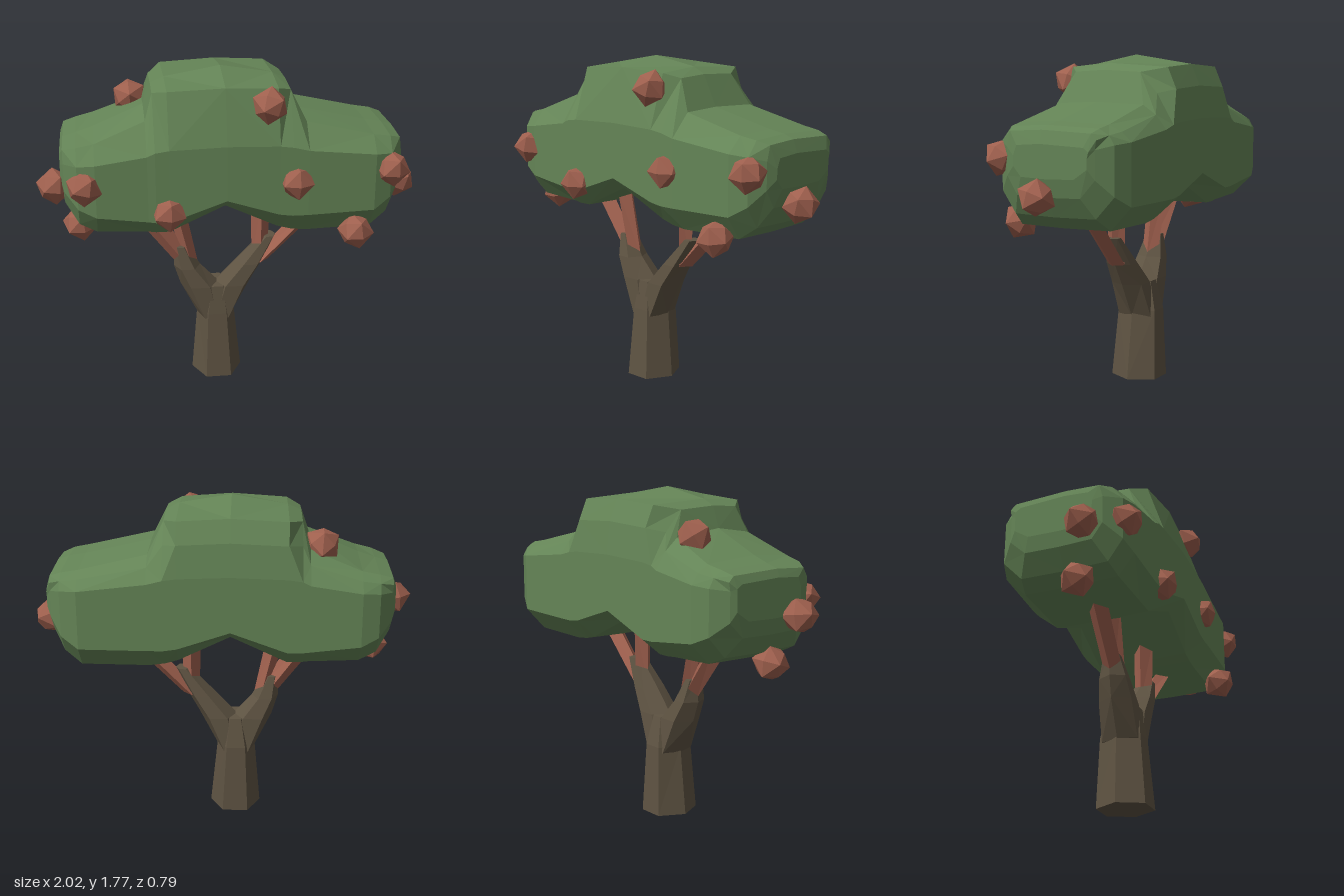
import * as THREE from 'three';
import { ConvexGeometry } from 'three/addons/geometries/ConvexGeometry.js';

const flat = (name, color) => {
  const m = new THREE.MeshStandardMaterial({ color, flatShading: true });
  m.name = name;
  return m;
};

// Skin between successive rings of [x, y, z] points, closed at both ends
function loft(rings) {
  const n = rings[0].length, pos = [];
  const tri = (a, b, c) => pos.push(...a, ...b, ...c);
  const centre = (r) => [0, 1, 2].map((k) => r.reduce((s, p) => s + p[k], 0) / n);
  for (let i = 0; i < rings.length - 1; i++) {
    for (let j = 0; j < n; j++) {
      const k = (j + 1) % n;
      const a = rings[i][j], b = rings[i][k], c = rings[i + 1][j], d = rings[i + 1][k];
      if ((i + j) % 2) { tri(a, c, b); tri(b, c, d); }
      else { tri(a, c, d); tri(a, d, b); }
    }
  }
  const first = rings[0], last = rings[rings.length - 1];
  const c0 = centre(first), c1 = centre(last);
  for (let j = 0; j < n; j++) {
    const k = (j + 1) % n;
    tri(c0, first[j], first[k]);
    tri(c1, last[k], last[j]);
  }
  const g = new THREE.BufferGeometry();
  g.setAttribute('position', new THREE.Float32BufferAttribute(pos, 3));
  g.computeVertexNormals();
  return g;
}

// Upright limb: each row is [x, y, z, radius in x, radius in z]
const limb = (rows, sides) => loft(rows.map(([x, y, z, rx, rz]) =>
  Array.from({ length: sides }, (_, j) => {
    const a = (j / sides) * Math.PI * 2;
    return [x + Math.cos(a) * rx, y, z + Math.sin(a) * rz];
  })));

// Blocky fruit: a small cube with a raised point on each face
function fruitGeometry(corner, point) {
  const pts = [];
  for (const s of [-1, 1]) {
    pts.push(new THREE.Vector3(s * point, 0, 0), new THREE.Vector3(0, s * point, 0), new THREE.Vector3(0, 0, s * point));
    for (const t of [-1, 1]) for (const u of [-1, 1]) {
      pts.push(new THREE.Vector3(s, t, u).multiplyScalar(corner));
    }
  }
  return new ConvexGeometry(pts);
}

export function createModel() {
  const tree = new THREE.Group();
  tree.name = 'tree';
  const bark = flat('brown bark', 0x5e5342);
  const clay = flat('terracotta', 0x9f604e);
  const leaf = flat('leaf green', 0x648456);
  const add = (name, geometry, material) => {
    const mesh = new THREE.Mesh(geometry, material);
    mesh.name = name;
    tree.add(mesh);
    return mesh;
  };

  // Trunk and its fork
  add('trunk', limb([
    [-0.075, 0.01, -0.005, 0.138, 0.155],
    [-0.078, 0.39, -0.015, 0.102, 0.13],
    [-0.075, 0.55, -0.008, 0.06, 0.098],
  ], 6), bark);
  add('rightFork', limb([
    [-0.11, 0.36, -0.01, 0.07, 0.115],
    [-0.168, 0.55, -0.005, 0.105, 0.105],
    [-0.235, 0.66, 0, 0.072, 0.085],
    [-0.27, 0.78, 0, 0.035, 0.05],
  ], 6), bark);
  add('leftFork', limb([
    [-0.05, 0.36, -0.01, 0.07, 0.115],
    [0.018, 0.55, -0.005, 0.1, 0.105],
    [0.108, 0.67, 0, 0.077, 0.085],
    [0.215, 0.82, 0, 0.038, 0.05],
  ], 6), bark);

  // Thin branches reaching into the crown
  const branches = [
    [[-0.24, 0.68], [-0.5, 1.04], 0.075],
    [[-0.21, 0.66], [-0.3, 1.04], 0.05],
    [[0.165, 0.68], [0.17, 1.04], 0.055],
    [[0.165, 0.67], [0.52, 1.04], 0.065],
  ];
  branches.forEach(([a, b, r], i) => add(`branch${i + 1}`, limb([
    [a[0], a[1], 0, r * 0.75, 0.05],
    [b[0], b[1], 0, r, 0.055],
  ], 4), clay));

  // Crown: [x, bottom, top edge, crest, shoulder, front z, back z, top front z, top back z, chamfer]
  const stations = [
    [-0.885, 1.2, 1.38, 1.39, 1.33, 0.15, -0.27, 0.13, -0.24, 0.05],
    [-0.868, 1.12, 1.42, 1.43, 1.35, 0.2, -0.3, 0.18, -0.28, 0.08],
    [-0.8, 1.02, 1.44, 1.45, 1.36, 0.28, -0.37, 0.22, -0.29, 0.11],
    [-0.71, 0.98, 1.46, 1.48, 1.37, 0.305, -0.4, 0.23, -0.3, 0.11],
    [-0.45, 0.97, 1.56, 1.59, 1.41, 0.315, -0.4, 0.2, -0.27, 0.09],
    [-0.41, 0.965, 1.69, 1.7, 1.43, 0.32, -0.4, 0.15, -0.21, 0.09],
    [-0.34, 0.965, 1.715, 1.73, 1.44, 0.32, -0.4, 0.23, -0.33, 0.09],
    [-0.05, 1.1, 1.73, 1.78, 1.45, 0.325, -0.4, 0.25, -0.33, 0.06],
    [0.22, 0.97, 1.715, 1.735, 1.44, 0.32, -0.4, 0.23, -0.33, 0.1],
    [0.29, 0.95, 1.69, 1.7, 1.43, 0.32, -0.4, 0.17, -0.21, 0.11],
    [0.37, 0.94, 1.53, 1.54, 1.41, 0.32, -0.4, 0.21, -0.27, 0.12],
    [0.72, 0.945, 1.45, 1.46, 1.37, 0.305, -0.4, 0.22, -0.28, 0.12],
    [0.81, 1.01, 1.435, 1.445, 1.36, 0.27, -0.36, 0.21, -0.28, 0.11],
    [0.868, 1.11, 1.415, 1.425, 1.34, 0.2, -0.29, 0.18, -0.27, 0.09],
  ];
  stations.push([0.89, 1.2, 1.35, 1.36, 1.3, 0.15, -0.26, 0.13, -0.24, 0.05]);
  add('crown', loft(stations.map(([x, bot, top, crest, sh, zf, zb, tf, tb, cut]) => [
    [x, bot, zf * 0.72], [x, bot + cut, zf], [x, sh, zf],
    [x, top, tf], [x, crest, 0], [x, top, tb],
    [x, sh + (top - sh) * 0.6, zb * 0.4 + tb * 0.6 - 0.02],
    [x, sh, zb], [x, bot + cut, zb],
    [x, bot, zb * 0.72], [x, bot - 0.005, -0.03],
  ])), leaf);

  // Fruit around the crown: position, then turn
  const fruit = fruitGeometry(0.056, 0.084);
  [
    [-0.92, 1.2, 0.11, 0.2, 0.4, 0.6], [-0.765, 1.25, 0.28, 0.3, 0.3, 0.5],
    [-0.8, 0.955, 0.04, 0.3, 0.3, 0.8], [-0.345, 1.1, 0.305, 0.2, 0.1, 0.75],
    [0.31, 1.24, 0.3, 0.05, 0.1, 0.78], [0.17, 1.64, 0.27, 0.5, 0.4, 0.3],
    [0.81, 1.28, 0.27, 0.3, 0.3, 0.7], [0.92, 1.11, 0, 0.5, 0.2, 0.4],
    [0.63, 0.945, 0.29, 0.2, 0.3, 0.8], [-0.51, 1.57, -0.21, 0.2, 0.8, 0.1],
  ].forEach(([x, y, z, rx, ry, rz], i) => {
    const m = add(`fruit${i + 1}`, fruit, clay);
    m.position.set(x, y, z);
    m.rotation.set(rx, ry, rz);
  });
  return tree;
}
